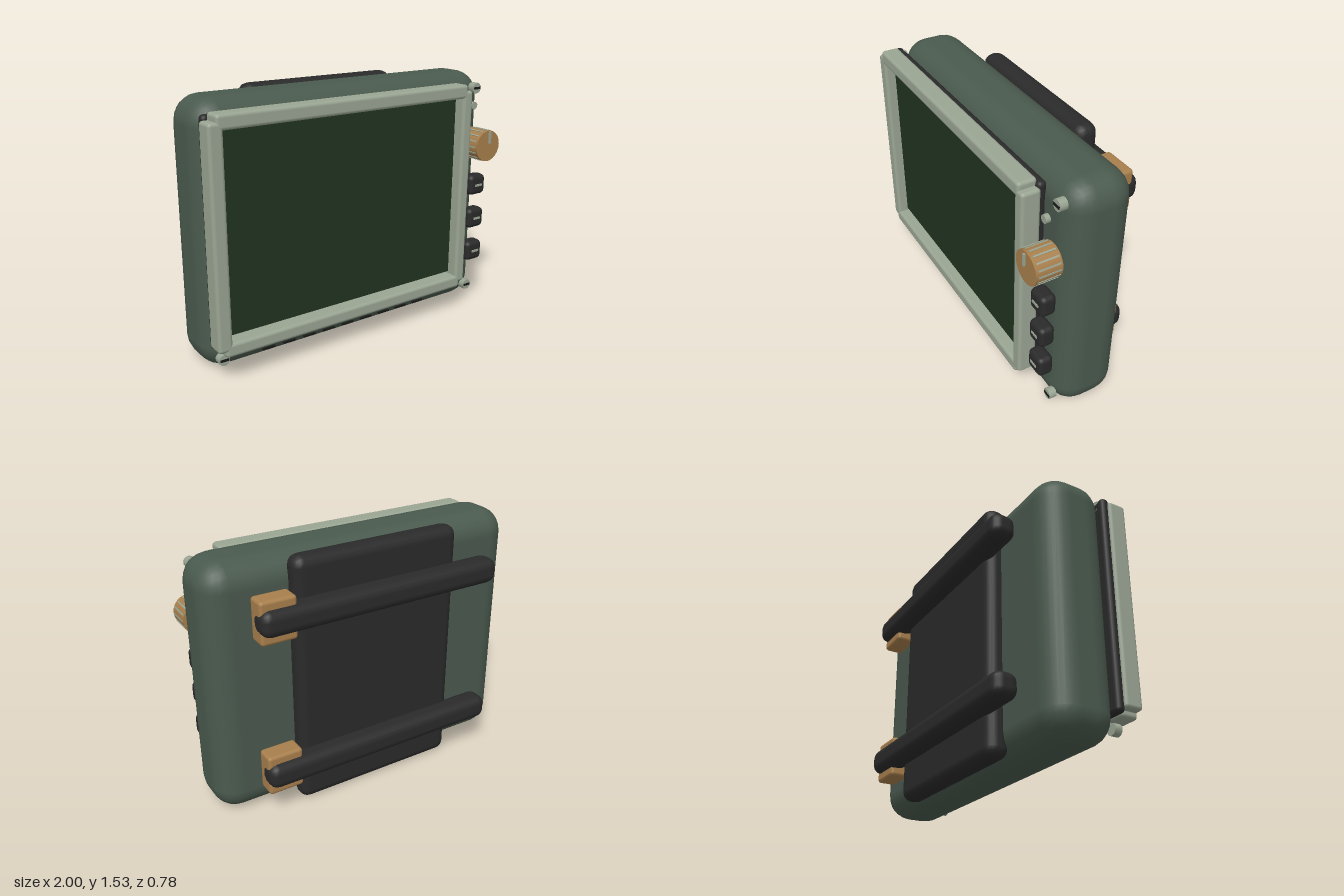
import * as THREE from 'three';
import { RoundedBoxGeometry } from 'three/addons/geometries/RoundedBoxGeometry.js';

const mat = (name, color) => Object.assign(new THREE.MeshStandardMaterial({ color }), { name });

export function createModel() {
  const model = new THREE.Group();
  model.name = 'handheldDisplayUnit';

  const shell = mat('shellGreen', 0x4a5a4e);
  const trim = mat('paleTrim', 0x9aa593);
  const rubber = mat('blackRubber', 0x2a2a2a);
  const brass = mat('brass', 0xa87f4c);
  const glass = mat('screenGreen', 0x213321);
  const slotBlack = mat('slotBlack', 0x161816);

  const add = (name, geometry, material, x, y, z, parent = model) => {
    const mesh = new THREE.Mesh(geometry, material);
    mesh.name = name;
    mesh.position.set(x, y, z);
    parent.add(mesh);
    return mesh;
  };
  // Boxes given by their limits on each axis; r is the edge radius.
  const box = (name, material, [x0, x1], [y0, y1], [z0, z1], r = 0, seg = 2, parent = model) => {
    const size = [x1 - x0, y1 - y0, z1 - z0];
    const geometry = r ? new RoundedBoxGeometry(...size, seg, r) : new THREE.BoxGeometry(...size);
    return add(name, geometry, material, (x0 + x1) / 2, (y0 + y1) / 2, (z0 + z1) / 2, parent);
  };
  // Cylinder along z.
  const disc = (name, material, r, x, y, [z0, z1], sides, parent = model) =>
    add(name, new THREE.CylinderGeometry(r, r, z1 - z0, sides).rotateX(Math.PI / 2),
      material, x, y, (z0 + z1) / 2, parent);

  // Main housing
  box('housing', shell, [-1, 1], [0, 1.53], [-0.2, 0.195], 0.15, 3);

  // Screen with its backing and four frame bars
  box('screenBacking', rubber, [-0.985, 0.755], [0.175, 1.465], [0.18, 0.235], 0.025);
  box('screen', glass, [-0.908, 0.68], [0.265, 1.385], [0.22, 0.27]);
  box('frameTop', trim, [-0.955, 0.725], [1.395, 1.48], [0.22, 0.333], 0.02);
  box('frameBottom', trim, [-0.955, 0.725], [0.165, 0.245], [0.22, 0.333], 0.02);
  box('frameRight', trim, [-1, -0.915], [0.2, 1.44], [0.22, 0.333], 0.02);
  box('frameLeft', trim, [0.69, 0.765], [0.2, 1.44], [0.22, 0.333], 0.02);

  // Corner screws with slots
  for (const x of [-0.92, 0.9]) {
    for (const y of [0.1, 1.43]) {
      const screw = new THREE.Group();
      screw.name = 'screw';
      model.add(screw);
      disc('screwHead', trim, 0.034, x, y, [0.18, 0.225], 10, screw);
      box('screwSlot', slotBlack, [x - 0.026, x + 0.026], [y - 0.007, y + 0.007], [0.22, 0.229], 0, 2, screw);
    }
  }

  // Indicator lamp
  disc('indicatorLamp', trim, 0.024, 0.85, 1.33, [0.235, 0.262], 10);

  // Ribbed dial and its pointer
  const dial = new THREE.Group();
  dial.name = 'dial';
  dial.position.set(0.875, 1.09, 0);
  model.add(dial);
  disc('dialKnob', brass, 0.097, 0, 0, [0.215, 0.37], 24, dial);
  const ribs = 16;
  for (let i = 0; i < ribs; i++) {
    const a = (i / ribs) * Math.PI * 2;
    const rib = add('dialRib', new THREE.BoxGeometry(0.008, 0.009, 0.13), trim,
      Math.cos(a) * 0.096, Math.sin(a) * 0.096, 0.29, dial);
    rib.rotation.z = a;
  }
  box('dialPointer', trim, [-0.007, 0.007], [0.02, 0.095], [0.378, 0.388], 0, 2, dial);

  // Three push buttons with pale marks
  for (const y of [0.375, 0.6, 0.823]) {
    box('button', rubber, [0.81, 0.94], [y - 0.065, y + 0.065], [0.215, 0.308], 0.03);
    box('buttonMark', trim, [0.848, 0.904], [y - 0.007, y + 0.007], [0.305, 0.313]);
  }

  // Row of vents along the lower edge
  for (let i = 0; i < 9; i++) {
    const x = -0.615 + i * 0.1395;
    box('vent', slotBlack, [x - 0.04, x + 0.04], [0.06, 0.07], [0.165, 0.185]);
  }

  // Rear pad
  box('rearPad', rubber, [-0.53, 0.525], [0.002, 1.528], [-0.287, -0.15], 0.06);

  // Rear straps and their brass buckles
  for (const y of [0.3, 1.237]) {
    box('strap', rubber, [-0.765, 0.765], [y - 0.076, y + 0.076], [-0.39, -0.24], 0.055);
    box('buckle', brass, [0.545, 0.76], [y - 0.125, y + 0.125], [-0.343, -0.224], 0.02);
  }

  return model;
}
